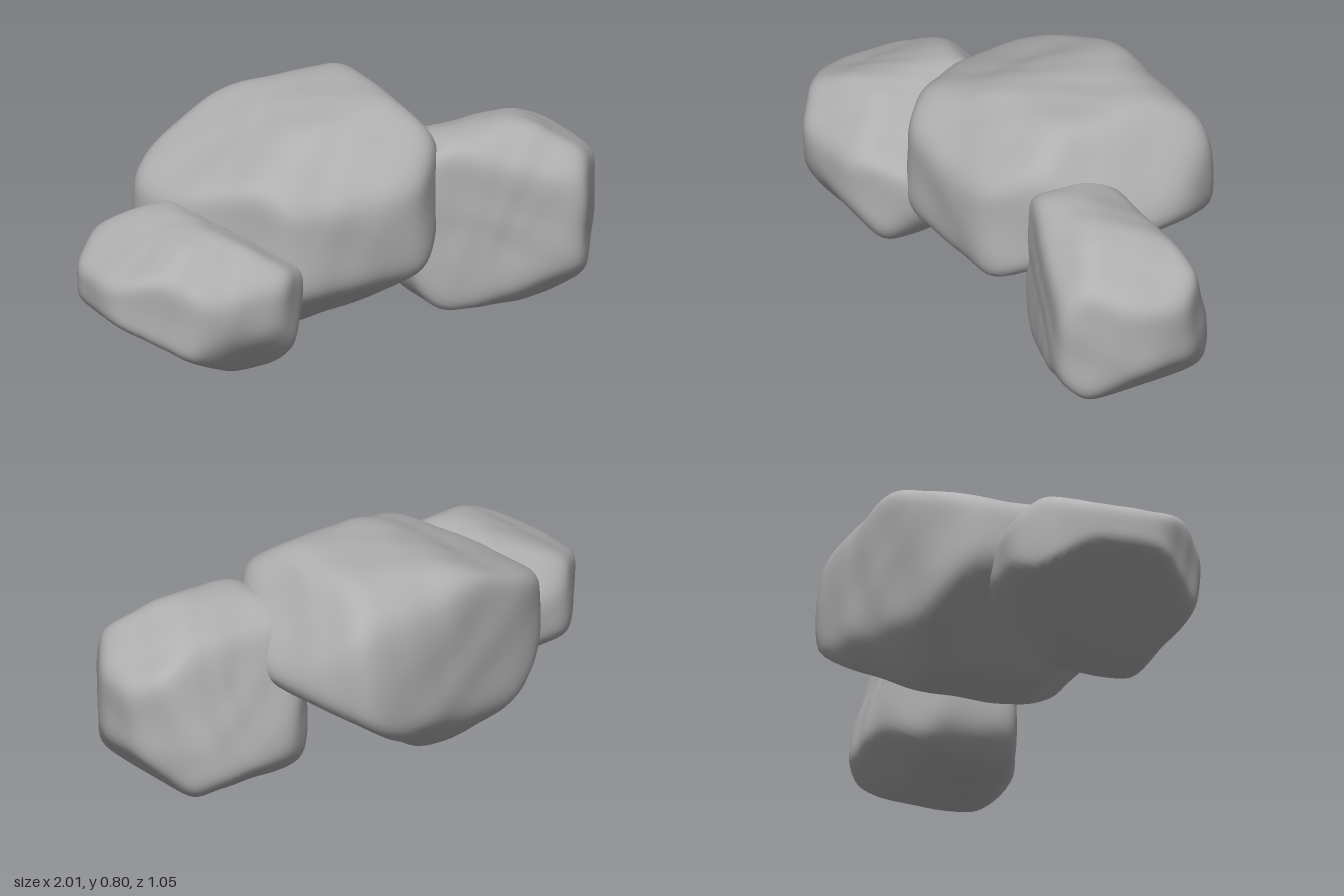
import * as THREE from 'three';
import { mergeVertices } from 'three/addons/utils/BufferGeometryUtils.js';

const SHARPNESS = 18;

// Chamfer planes turning in the plane of axes a and b: angle in degrees, distance from the centre
function chamfers(a, b, cuts) {
  return cuts.map(([angle, distance]) => {
    const t = THREE.MathUtils.degToRad(angle);
    const plane = new THREE.Vector3();
    plane[a] = Math.cos(t) / distance;
    plane[b] = Math.sin(t) / distance;
    return plane;
  });
}

// A block cut by chamfers, softly rounded and lightly weathered
function boulder(name, material, { centre, min, max, xy, zy, xz, seed }) {
  const planes = [...chamfers('x', 'y', xy), ...chamfers('z', 'y', zy), ...chamfers('x', 'z', xz)];
  ['x', 'y', 'z'].forEach((axis, i) => {
    for (const limit of [min[i], max[i]]) {
      const plane = new THREE.Vector3();
      plane[axis] = 1 / (limit - centre[i]);
      planes.push(plane);
    }
  });

  let geometry = new THREE.IcosahedronGeometry(1, 22);
  geometry.deleteAttribute('uv');
  geometry.deleteAttribute('normal');
  geometry = mergeVertices(geometry, 1e-4);
  const pos = geometry.attributes.position;
  const v = new THREE.Vector3();
  for (let i = 0; i < pos.count; i++) {
    v.fromBufferAttribute(pos, i).normalize();
    let sum = 0;
    for (const plane of planes) sum += Math.max(0, v.dot(plane)) ** SHARPNESS;
    const bumps = Math.sin(6 * v.x + 3 * v.y + seed) * Math.sin(7 * v.y - 2 * v.z + seed * 2)
      + 0.6 * Math.sin(11 * v.z + 4 * v.x + seed * 3) * Math.sin(10 * v.x - 5 * v.y);
    v.multiplyScalar(sum ** (-1 / SHARPNESS) * (1.01 + 0.01 * bumps));
    pos.setXYZ(i, v.x, v.y, v.z);
  }
  geometry.computeVertexNormals();

  const mesh = new THREE.Mesh(geometry, material);
  mesh.name = name;
  mesh.position.set(...centre);
  return mesh;
}

export function createModel() {
  const group = new THREE.Group();
  group.name = 'boulderCluster';
  const stone = new THREE.MeshStandardMaterial({ color: 0xb0b0b0 });
  stone.name = 'grey stone';

  // Large leaning boulder in the middle
  group.add(boulder('middleBoulder', stone, {
    centre: [-0.06, 0.41, -0.07], min: [-0.62, 0.02, -0.53], max: [0.5, 0.79, 0.375], seed: 1,
    xy: [[114, 0.36], [38, 0.49], [-56, 0.31], [231, 0.43]],
    zy: [[51, 0.41], [125, 0.47], [168, 0.46], [225, 0.42], [-52, 0.4]],
    xz: [[-32, 0.58], [258, 0.395], [231, 0.515], [41, 0.49], [144, 0.47]],
  }));

  // Blocky boulder on the left
  group.add(boulder('leftBoulder', stone, {
    centre: [0.63, 0.32, 0.1], min: [0.26, 0, -0.22], max: [1, 0.67, 0.42], seed: 4,
    xy: [[57, 0.336], [-45, 0.325], [225, 0.415], [120, 0.41]],
    zy: [[45, 0.34], [-45, 0.335], [160, 0.25], [115, 0.316], [232, 0.343]],
    xz: [[-45, 0.335], [38, 0.345], [110, 0.242], [233, 0.36]],
  }));

  // Flatter wedge-shaped boulder on the right
  group.add(boulder('rightBoulder', stone, {
    centre: [-0.64, 0.31, 0.18], min: [-1, 0.035, -0.2], max: [-0.26, 0.555, 0.53], seed: 8,
    xy: [[116, 0.25], [240, 0.205], [-40, 0.36], [60, 0.235]],
    zy: [[53, 0.28], [-37, 0.33], [135, 0.33], [236, 0.28]],
    xz: [[225, 0.37], [135, 0.325], [-28, 0.3], [45, 0.39]],
  }));

  return group;
}
